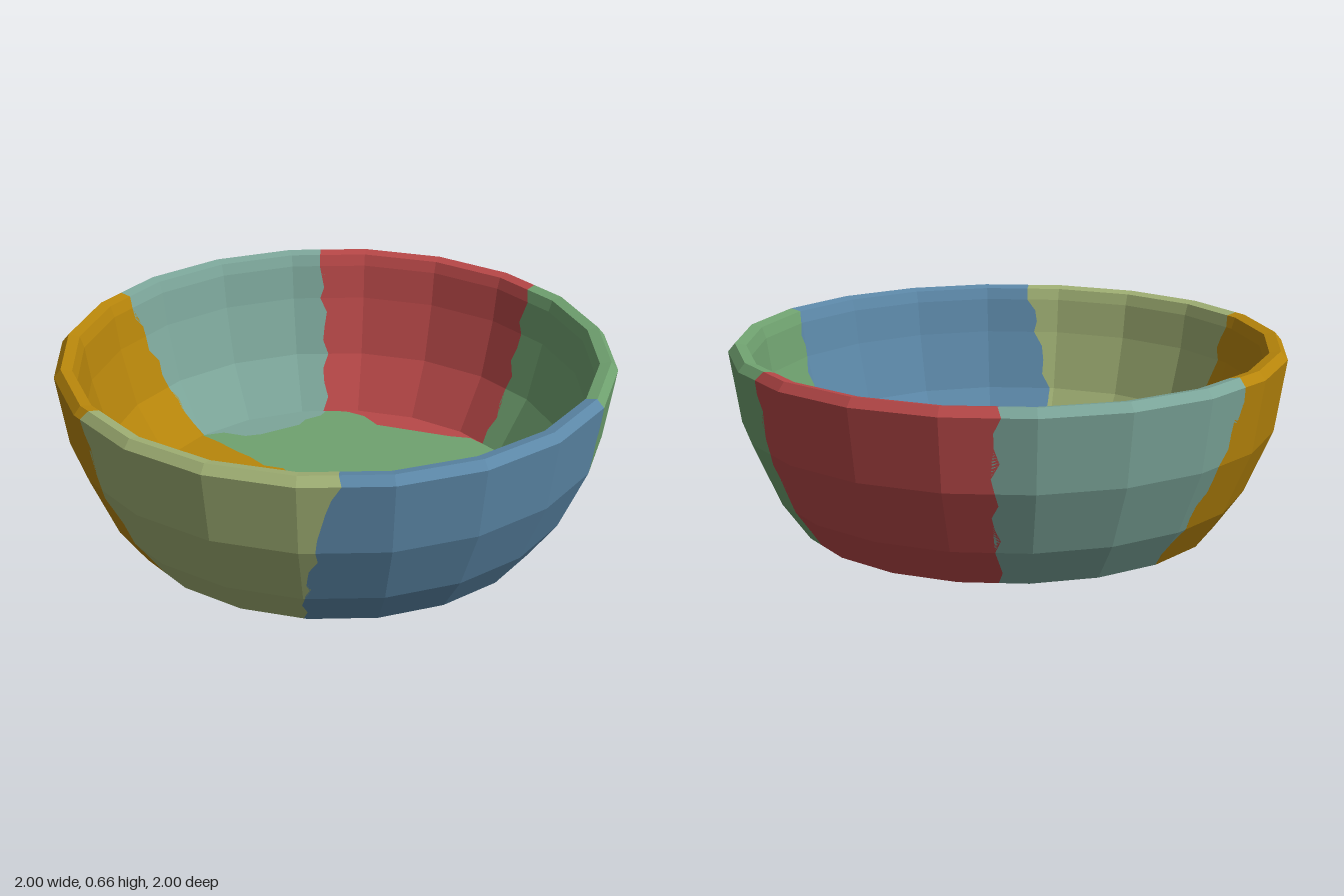
import * as THREE from 'three';

const FACET = 18;          // degrees per facet of the 20-sided bowl
const FLOOR_R = 0.72, FLOOR_H = 0.06;

// Closed wall section [radius, height]: underside, outside, rim, inside
const SECTION = [[0.72, 0], [0.76, 0], [0.86, 0.14], [0.96, 0.37], [1, 0.63], [0.975, 0.66],
  [0.935, 0.652], [0.92, 0.61], [0.9, 0.48], [0.84, 0.26], [FLOOR_R, FLOOR_H]];

// Break lines through the wall: angle at the base, middle and rim (0 = front, 90 = +x)
const CUTS = [[17, 20.8, 25.8], [97, 91, 90.5], [151, 152, 152],
  [208.6, 208, 208.6], [251, 258, 264], [332.5, 328.5, 326.5]];

// Break lines across the floor [x, z]
const P = [-0.05, 0.58], Q = [-0.1, -0.05], R = [0.16, -0.07];
const blueOlive = [[0.15, 0.65], [0.07, 0.63], [0.02, 0.585], P];
const orangeOlive = [[-0.25, 0.64], [-0.15, 0.6], P];
const pinkOrange = [P, [0, 0.49], [0.06, 0.43], [0.1, 0.38], [0.06, 0.33], [0.09, 0.26],
  [0.07, 0.2], [0.1, 0.15], [0.06, 0.08], [0.02, 0], [-0.05, -0.01], Q];
const pinkBlue = [P, [0.05, 0.565], [0.13, 0.57], [0.2, 0.52], [0.28, 0.47], [0.27, 0.4],
  [0.32, 0.3], [0.33, 0.2], [0.28, 0.11], [0.23, 0.04], [0.24, -0.03], R];
const pinkGreen = [Q, [-0.05, -0.09], [0, -0.09], [0.08, -0.06], R];
const greenBlue = [R, [0.25, -0.08], [0.4, -0.06], [0.46, -0.09], [0.55, -0.1], [0.63, -0.13]];
const greenOrange = [Q, [-0.22, -0.07], [-0.27, -0.11], [-0.35, -0.1], [-0.43, -0.14],
  [-0.5, -0.16], [-0.6, -0.2]];
const redEdge = [[0.28, -0.65], [0.2, -0.63], [0.1, -0.62], [-0.1, -0.6], [-0.18, -0.65], [-0.28, -0.66]];
const tealEdge = [[-0.34, -0.58], [-0.38, -0.52], [-0.38, -0.47], [-0.43, -0.4], [-0.48, -0.33],
  [-0.53, -0.29], [-0.62, -0.28]];

const rev = (line) => [...line].reverse();
const clamp = THREE.MathUtils.clamp;

// Jagged angle of break line k at height y; k may run past the last one
function cutAngle(k, y) {
  const n = CUTS.length, c = CUTS[k % n], t = clamp(y / 0.33, 0, 2);
  const base = t < 1 ? c[0] + (c[1] - c[0]) * t : c[1] + (c[2] - c[1]) * (t - 1);
  return base + 0.9 * Math.sin(y * 43 + (k % n) * 2) + (k >= n ? 360 : 0);
}

// Point of the 20-sided ring in plan
function ringPoint(r, deg) {
  const off = ((deg % FACET) + FACET) % FACET - FACET / 2;
  const d = r * Math.cos(Math.PI * FACET / 360) / Math.cos(off * Math.PI / 180);
  const a = deg * Math.PI / 180;
  return [d * Math.sin(a), d * Math.cos(a)];
}

// Floor outline from break line k to the next one
function arc(k, k2 = k + 1) {
  const a0 = cutAngle(k, 0), a1 = cutAngle(k2, 0), pts = [ringPoint(FLOOR_R, a0)];
  for (let a = Math.ceil(a0 / FACET) * FACET; a < a1; a += FACET) pts.push(ringPoint(FLOOR_R, a));
  if (k2 !== k) pts.push(ringPoint(FLOOR_R, a1));
  return pts;
}

// Section with long sides subdivided, so that the breaks can be jagged
function fineSection() {
  const out = [];
  SECTION.forEach(([r, y], i) => {
    const [r2, y2] = SECTION[(i + 1) % SECTION.length];
    const n = Math.ceil(Math.hypot(r2 - r, y2 - y) / 0.06);
    for (let j = 0; j < n; j++) out.push([r + (r2 - r) * j / n, y + (y2 - y) * j / n]);
  });
  return out;
}

// Wall fragment between break lines k and k + 1
function wallGeometry(k) {
  const section = fineSection(), rows = section.length;
  const first = Math.floor((cutAngle(k, 0) - 20) / FACET);
  const last = Math.ceil((cutAngle(k + 1, 0) + 20) / FACET);
  const cols = last - first + 1, pos = [], index = [];
  for (const [r, y] of section) {
    const a0 = cutAngle(k, y), a1 = cutAngle(k + 1, y);
    for (let i = 0; i < cols; i++) {
      const a = i === 0 ? a0 : i === cols - 1 ? a1 : clamp((first + i) * FACET, a0, a1);
      const [x, z] = ringPoint(r, a);
      pos.push(x, y, z);
    }
  }
  for (let j = 0; j < rows; j++) {
    for (let i = 0; i < cols - 1; i++) {
      const a = j * cols + i, c = ((j + 1) % rows) * cols + i;
      index.push(a, a + 1, c, a + 1, c + 1, c);
    }
  }
  // Broken end faces
  const outline = section.map(([r, y]) => new THREE.Vector2(r, y));
  for (const [a, b, c] of THREE.ShapeUtils.triangulateShape(outline, [])) {
    const e = cols - 1;
    index.push(a * cols, b * cols, c * cols, c * cols + e, b * cols + e, a * cols + e);
  }
  const geo = new THREE.BufferGeometry();
  geo.setAttribute('position', new THREE.Float32BufferAttribute(pos, 3));
  geo.setIndex(index);
  const flat = geo.toNonIndexed();
  flat.computeVertexNormals();
  return flat;
}

// Floor fragment: a flat slab with the given outline
function floorGeometry(points) {
  const outline = points.filter((p, i) => i === 0 || p !== points[i - 1]);
  if (outline[0] === outline[outline.length - 1]) outline.pop();
  const shape = new THREE.Shape(outline.map(([x, z]) => new THREE.Vector2(x, -z)));
  return new THREE.ExtrudeGeometry(shape, { depth: FLOOR_H, bevelEnabled: false }).rotateX(-Math.PI / 2);
}

export function createModel() {
  const bowl = new THREE.Group();
  bowl.name = 'brokenBowl';

  // name, colour, wall index (-1 = floor only), floor outline
  const fragments = [
    ['blueFragment', 0x5c88a8, 0, [...arc(0), ...rev(greenBlue), ...rev(pinkBlue), ...rev(blueOlive)]],
    ['greenFragment', 0x70a270, 1, [...arc(1), ...redEdge, ...arc(3, 3), ...tealEdge, ...arc(4, 4),
      ...rev(greenOrange), ...pinkGreen, ...greenBlue]],
    ['redFragment', 0xb84848, 2, [...arc(2), ...rev(redEdge)]],
    ['tealFragment', 0x7ca69a, 3, [...arc(3), ...rev(tealEdge)]],
    ['orangeFragment', 0xb8860b, 4, [...arc(4), ...orangeOlive, ...pinkOrange, ...greenOrange]],
    ['oliveFragment', 0xa0b074, 5, [...arc(5), ...blueOlive, ...rev(orangeOlive)]],
    ['pinkFragment', 0xb08ca5, -1, [...pinkOrange, ...pinkGreen, ...rev(pinkBlue)]],
  ];

  for (const [name, color, k, outline] of fragments) {
    const piece = new THREE.Group();
    piece.name = name;
    const material = new THREE.MeshStandardMaterial({ color, flatShading: true });
    const add = (part, geo) => {
      const mesh = new THREE.Mesh(geo, material);
      mesh.name = part;
      piece.add(mesh);
    };
    if (k >= 0) add('wall', wallGeometry(k));
    add('floor', floorGeometry(outline));
    bowl.add(piece);
  }
  return bowl;
}
